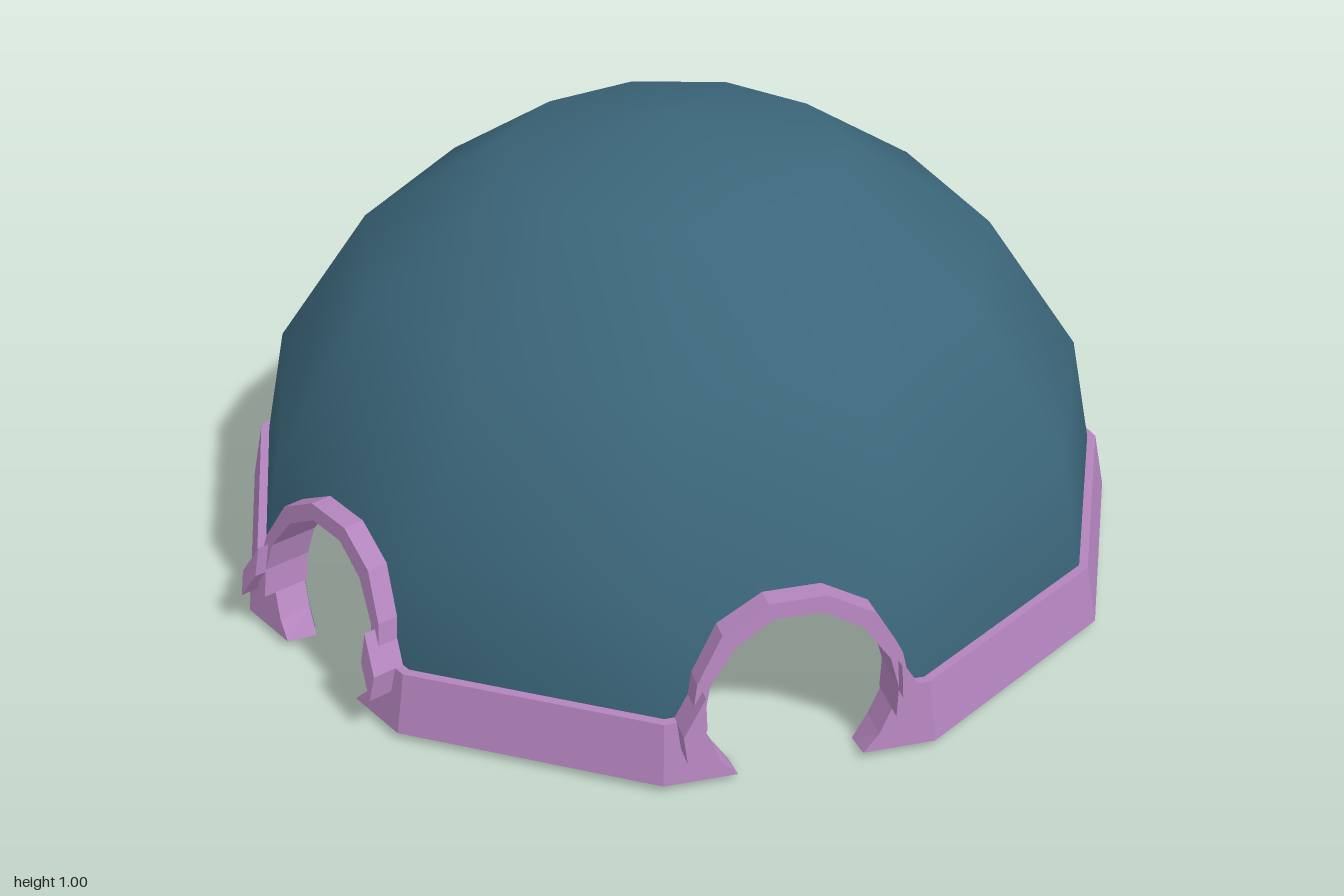
import * as THREE from 'three';

const SIDES = 11;
const STEP = (Math.PI * 2) / SIDES;
const COS = Math.cos(STEP / 2), TAN = Math.tan(STEP / 2);
const EDGE = 0.27; // outline x that snaps to the corner between two wall panels
const DOORS = [0, 2];
const CENTRE = new THREE.Vector3(0, 0.02, 0);

const shellMat = new THREE.MeshStandardMaterial({ color: 0x3b667a, side: THREE.DoubleSide });
const trimMat = new THREE.MeshStandardMaterial({ color: 0xb384bd, side: THREE.DoubleSide });

// right half of the door opening, bottom to top
const opening = [[0.13, 0], [0.165, 0.05], [0.193, 0.1], [0.2, 0.16], [0.185, 0.225], [0.13, 0.3], [0.05, 0.345]];
const mirror = (pts) => pts.map(([x, y]) => [-x, y]);
const bothHalves = (pts) => [...pts, ...mirror(pts).reverse()];

// Plate on the sloping wall: outline in x/y, thickness from d0 to d1 outward
function plate(points, d0, d1, adjust) {
  const shape = new THREE.Shape(points.map(([x, y]) => new THREE.Vector2(x, y)));
  const geo = new THREE.ExtrudeGeometry(shape, { depth: 1, bevelEnabled: false });
  const p = geo.attributes.position;
  for (let i = 0; i < p.count; i++) {
    let x = p.getX(i), y = p.getY(i);
    const outer = p.getZ(i) > 0.5;
    if (adjust) y = adjust(y, outer);
    const z = (0.98 - 0.2 * (y - 0.02)) * COS + (outer ? d1 : d0);
    if (Math.abs(x) > 0.255) x = Math.sign(x) * z * TAN;
    p.setXYZ(i, x, y, z);
  }
  geo.computeVertexNormals();
  return geo;
}

// Round the shading of the plate's inner and outer faces
function roundNormals(geo) {
  const p = geo.attributes.position, n = geo.attributes.normal;
  const v = new THREE.Vector3();
  for (let i = 0; i < p.count; i++) {
    if (Math.abs(n.getZ(i)) < 0.9) continue;
    v.fromBufferAttribute(p, i).sub(CENTRE).normalize().multiplyScalar(Math.sign(n.getZ(i)));
    n.setXYZ(i, v.x, v.y, v.z);
  }
  return geo;
}

function add(parent, name, geo, mat, side = 0) {
  const mesh = new THREE.Mesh(geo, mat);
  mesh.name = name;
  mesh.rotation.y = side * STEP;
  parent.add(mesh);
  return mesh;
}

export function createModel() {
  const model = new THREE.Group();
  model.name = 'dome';

  // upper dome, outer and inner skins
  for (const [name, r, y] of [['domeOuter', 0.98, 0.02], ['domeInner', 0.92, 0.043]]) {
    const cap = new THREE.SphereGeometry(r, SIDES, 3, -Math.PI / 2, Math.PI * 2, 0, Math.PI * 3 / 8);
    add(model, name, cap, shellMat).position.y = y;
  }

  // lowest tier of the shell and the base band, side by side
  const shellHole = opening.map(([x, y], i) => (i ? [x * 1.03, y * 1.02] : [0.142, 0.012]));
  const tiltBase = (y, outer) => (y < 0.001 && outer ? 0.015 : y);
  for (let k = 0; k < SIDES; k++) {
    const door = DOORS.includes(k);
    const wall = [[-EDGE, 0.012], [-EDGE, 0.395], [EDGE, 0.395], [EDGE, 0.012]];
    if (door) wall.push(...bothHalves(shellHole));
    add(model, 'wallPanel', roundNormals(plate(wall, -0.058, 0, null)), shellMat, k);

    if (door) {
      const half = [[EDGE, 0], [EDGE, 0.145], [0.199, 0.145], [0.193, 0.1], [0.165, 0.05], [0.13, 0]];
      for (const pts of [half, mirror(half)]) {
        add(model, 'baseBand', plate(pts, -0.055, 0.0185, tiltBase), trimMat, k);
      }
    } else {
      const full = [[-EDGE, 0], [EDGE, 0], [EDGE, 0.145], [-EDGE, 0.145]];
      add(model, 'baseBand', plate(full, -0.055, 0.0185, tiltBase), trimMat, k);
    }
  }

  // door arches with a slanted bracket at each foot
  const archOuter = [[0.22, 0.1], [0.225, 0.16], [0.21, 0.235], [0.155, 0.328], [0.06, 0.378]];
  const arch = [...bothHalves(archOuter), ...mirror(opening.slice(2)), ...opening.slice(2).reverse()];
  const bracket = [[0.2, 0.22], [0.248, 0.145], [0.243, 0.09], [0.2, 0.155]];
  for (const k of DOORS) {
    add(model, 'doorArch', plate(arch, -0.06, 0.045), trimMat, k);
    for (const pts of [bracket, mirror(bracket)]) {
      add(model, 'archBracket', plate(pts, -0.01, 0.07), trimMat, k);
    }
  }
  return model;
}
